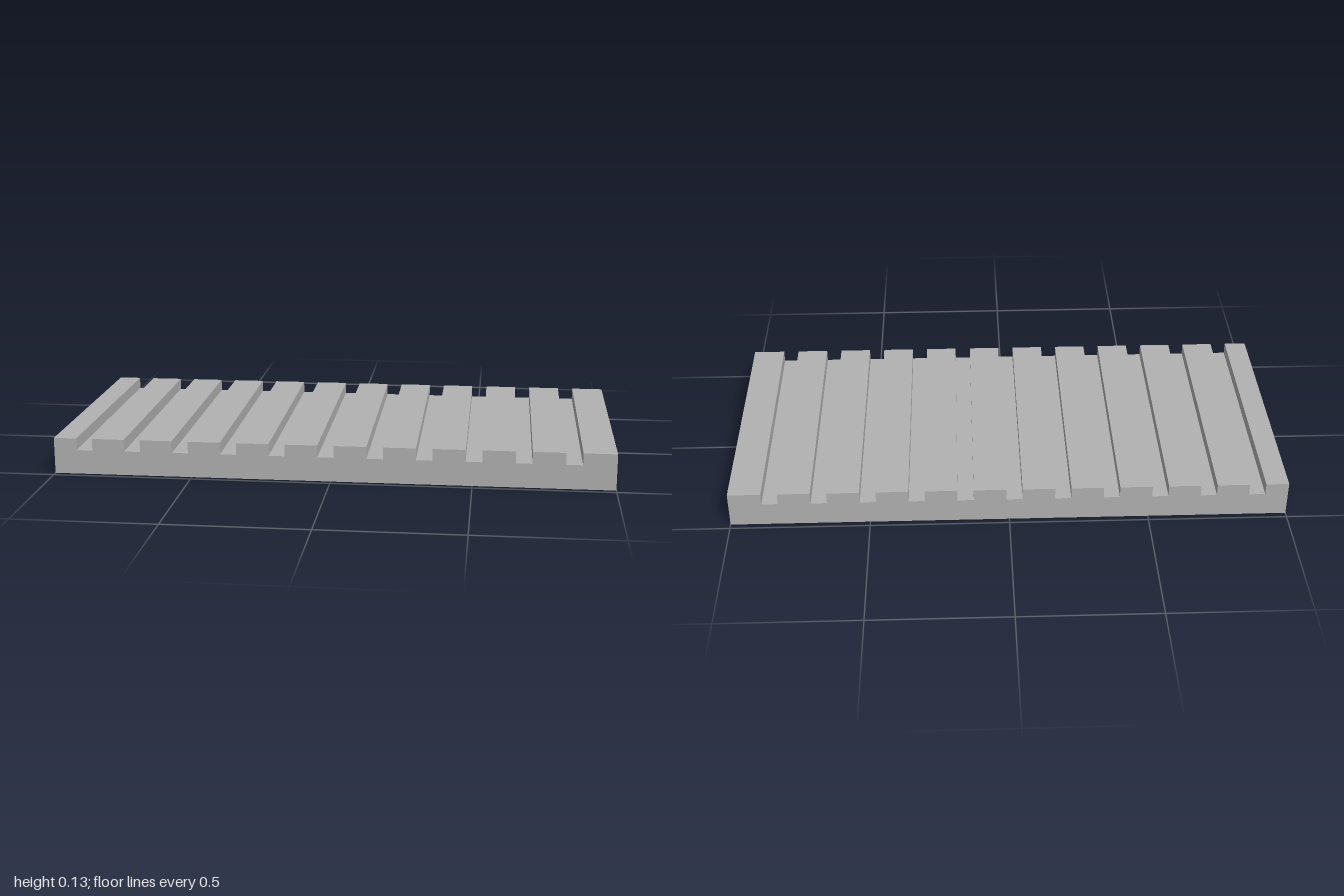
import * as THREE from 'three';

const LENGTH = 2, HEIGHT = 0.131, DEPTH = 0.956;
const GROOVES = 11, FIRST = -0.918, PITCH = 0.1742, GROOVE_WIDTH = 0.058, GROOVE_FLOOR = 0.088;

export function createModel() {
  const group = new THREE.Group();
  group.name = 'groovedPlate';
  const grey = new THREE.MeshStandardMaterial({ color: 0xb2b2b2 });
  grey.name = 'grey';

  // End profile: flat underside, with square grooves cut into the top edge
  const profile = new THREE.Shape();
  profile.moveTo(-LENGTH / 2, 0);
  profile.lineTo(LENGTH / 2, 0);
  profile.lineTo(LENGTH / 2, HEIGHT);
  for (let i = GROOVES - 1; i >= 0; i--) {
    const left = FIRST + i * PITCH, right = left + GROOVE_WIDTH;
    profile.lineTo(right, HEIGHT);
    profile.lineTo(right, GROOVE_FLOOR);
    profile.lineTo(left, GROOVE_FLOOR);
    profile.lineTo(left, HEIGHT);
  }
  profile.lineTo(-LENGTH / 2, HEIGHT);
  profile.closePath();

  // Slab: the profile swept from back to front
  const geometry = new THREE.ExtrudeGeometry(profile, { depth: DEPTH, bevelEnabled: false });
  geometry.translate(0, 0, -DEPTH / 2);
  const slab = new THREE.Mesh(geometry, grey);
  slab.name = 'groovedSlab';
  group.add(slab);
  return group;
}
